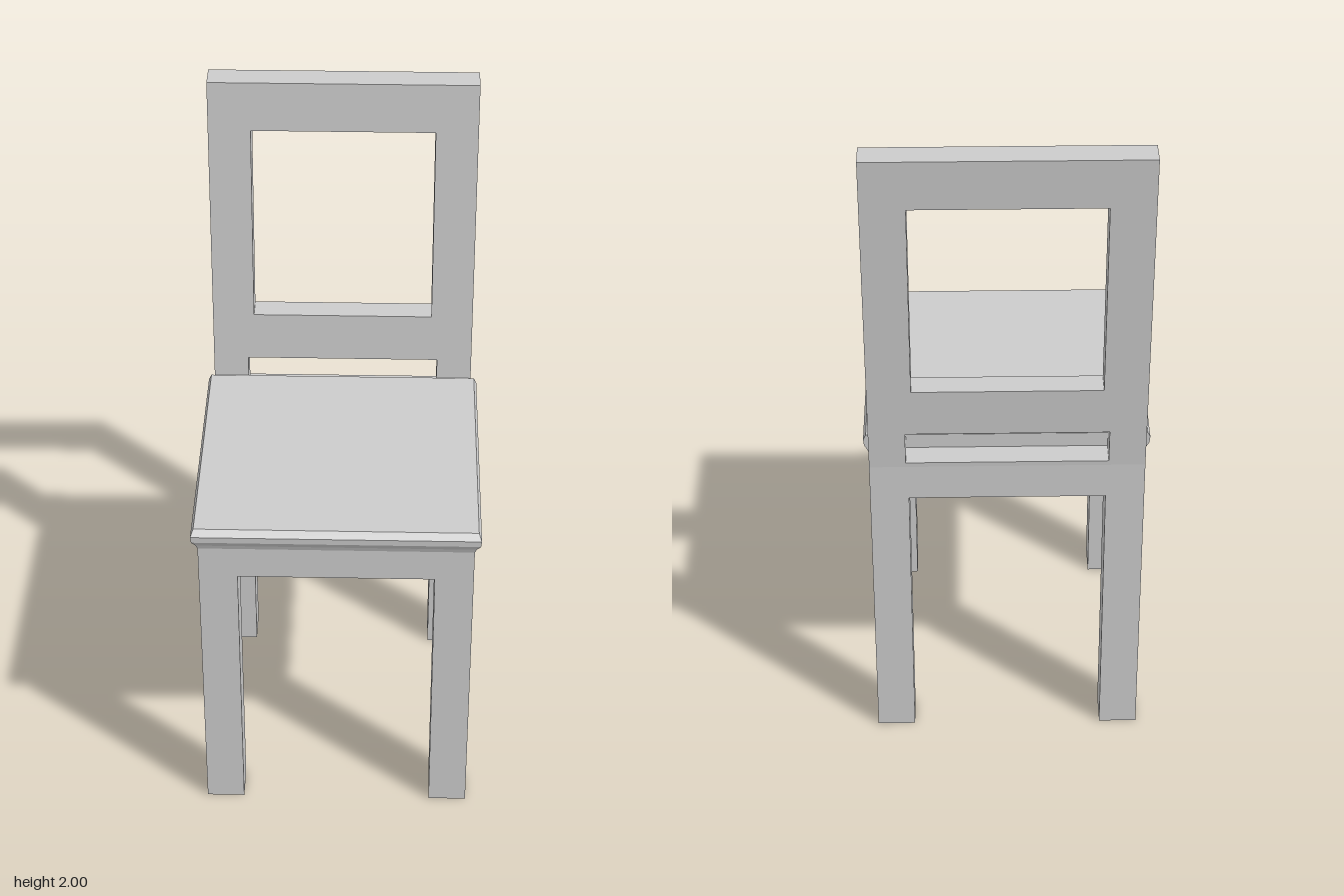
import * as THREE from 'three';

const material = new THREE.MeshStandardMaterial({ color: 0xcccccc, flatShading: true });

function addMesh(group, name, geometry) {
  const mesh = new THREE.Mesh(geometry, material);
  mesh.name = name;
  group.add(mesh);
}

// Box given by its limits on each axis
function block(x0, x1, y0, y1, z0, z1) {
  return new THREE.BoxGeometry(x1 - x0, y1 - y0, z1 - z0)
    .translate((x0 + x1) / 2, (y0 + y1) / 2, (z0 + z1) / 2);
}

function rectangle(target, halfWidth, y0, y1) {
  target.moveTo(-halfWidth, y0);
  target.lineTo(halfWidth, y0);
  target.lineTo(halfWidth, y1);
  target.lineTo(-halfWidth, y1);
  target.closePath();
  return target;
}

// Pierced frame, leaned back by moving its two faces
function backrestGeometry() {
  const frame = rectangle(new THREE.Shape(), 0.395, 0.97, 2);
  frame.holes.push(rectangle(new THREE.Path(), 0.27, 1.24, 1.85));
  frame.holes.push(rectangle(new THREE.Path(), 0.29, 0.985, 1.09));
  const geometry = new THREE.ExtrudeGeometry(frame, { depth: 1, bevelEnabled: false });
  const p = geometry.attributes.position;
  for (let i = 0; i < p.count; i++) {
    const rise = p.getY(i) - 0.97;
    p.setZ(i, p.getZ(i) > 0.5 ? -0.327 - 0.064 * rise : -0.4 - 0.073 * rise);
  }
  geometry.computeVertexNormals();
  return geometry;
}

// Seat board: stacked rectangles [half width, front z, y] with a straight rear
function seatGeometry() {
  const rings = [
    [0.395, 0.455, 0.96], [0.4, 0.461, 0.975], [0.411, 0.474, 0.995],
    [0.413, 0.475, 1.014], [0.405, 0.456, 1.03],
  ];
  const vertices = [], index = [];
  for (const [w, front, y] of rings) {
    vertices.push(-w, y, front, w, y, front, w, y, -0.325, -w, y, -0.325);
  }
  for (let r = 0; r < rings.length - 1; r++) {
    for (let k = 0; k < 4; k++) {
      const a = r * 4 + k, b = r * 4 + (k + 1) % 4;
      index.push(a, b, b + 4, a, b + 4, a + 4);
    }
  }
  const t = (rings.length - 1) * 4;
  index.push(t, t + 1, t + 2, t, t + 2, t + 3, 0, 2, 1, 0, 3, 2);
  const geometry = new THREE.BufferGeometry();
  geometry.setAttribute('position', new THREE.Float32BufferAttribute(vertices, 3));
  geometry.setIndex(index);
  const flat = geometry.toNonIndexed();
  flat.computeVertexNormals();
  return flat;
}

export function createModel() {
  const chair = new THREE.Group();
  chair.name = 'chair';

  // Four square legs
  for (const [side, x0, x1] of [['left', 0.283, 0.395], ['right', -0.395, -0.283]]) {
    addMesh(chair, side + 'FrontLeg', block(x0, x1, 0, 0.86, 0.35, 0.455));
    addMesh(chair, side + 'BackLeg', block(x0, x1, 0, 0.86, -0.4, -0.295));
  }

  // Solid apron under the seat
  addMesh(chair, 'apron', block(-0.395, 0.395, 0.86, 0.985, -0.4, 0.455));
  addMesh(chair, 'seat', seatGeometry());
  addMesh(chair, 'backrest', backrestGeometry());
  return chair;
}
